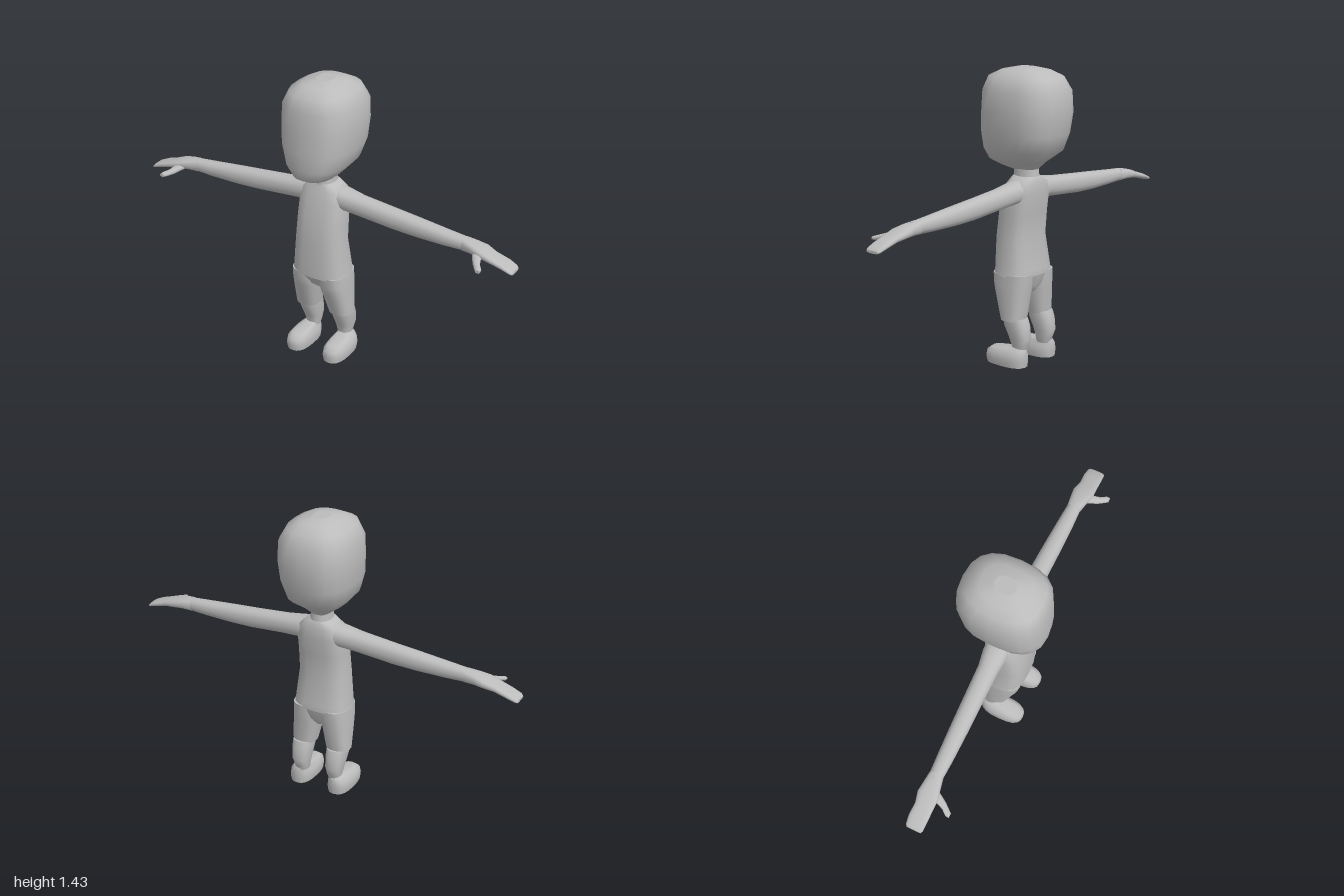
import * as THREE from 'three';

const SIDES = 20;
const grey = new THREE.MeshStandardMaterial({ color: 0xbcbcbc });
grey.name = 'plain grey';

// Rounded cross-section across one axis; a and b are the ranges on the other two axes
function ring(axis, pos, a0, a1, b0, b1, n) {
  const pts = [];
  const power = (v) => Math.sign(v) * Math.abs(v) ** (2 / n);
  for (let i = 0; i < SIDES; i++) {
    const t = (i / SIDES) * Math.PI * 2;
    const a = (a0 + a1) / 2 + ((a1 - a0) / 2) * power(Math.cos(t));
    const s = ((b1 - b0) / 2) * power(Math.sin(t));
    const b = (b0 + b1) / 2 + (axis === 'y' ? s : -s);
    pts.push(axis === 'y' ? [a, pos, b] : axis === 'x' ? [pos, a, b] : [a, b, pos]);
  }
  return pts;
}

// Smooth skin through cross-sections [pos, a0, a1, b0, b1], with crisp end caps
function loft(name, axis, sections, n = 2.3, side = 1) {
  const rings = sections.map((s) => ring(axis, ...s, n));
  const pos = [], idx = [];
  const add = (p) => pos.push(p[0] * side, p[1], p[2]) / 3 - 1;
  const tri = (a, b, c) => (side > 0 ? idx.push(a, b, c) : idx.push(a, c, b));
  rings.forEach((r) => r.forEach(add));
  for (let i = 0; i < rings.length - 1; i++) {
    for (let j = 0; j < SIDES; j++) {
      const a = i * SIDES + j, b = i * SIDES + ((j + 1) % SIDES);
      tri(a, a + SIDES, b);
      tri(b, a + SIDES, b + SIDES);
    }
  }
  [rings[0], rings[rings.length - 1]].forEach((r, end) => {
    const first = pos.length / 3;
    r.forEach(add);
    const mid = add([0, 1, 2].map((k) => r.reduce((sum, p) => sum + p[k], 0) / SIDES));
    for (let j = 0; j < SIDES; j++) {
      const a = first + j, b = first + ((j + 1) % SIDES);
      if (end) tri(a, mid, b);
      else tri(a, b, mid);
    }
  });
  const geo = new THREE.BufferGeometry();
  geo.setAttribute('position', new THREE.Float32BufferAttribute(pos, 3));
  geo.setIndex(idx);
  geo.computeVertexNormals();
  const mesh = new THREE.Mesh(geo, grey);
  mesh.name = name;
  return mesh;
}

// Sections centred on x = 0: [y, halfWidth, back z, front z]
const centred = (rows) => rows.map(([y, w, b, f]) => [y, -w, w, b, f]);

export function createModel() {
  const model = new THREE.Group();
  model.name = 'figure';

  model.add(loft('head', 'y', centred([
    [0.945, 0.045, -0.055, 0.08], [0.96, 0.065, -0.07, 0.14], [0.985, 0.1, -0.095, 0.197],
    [1.04, 0.148, -0.172, 0.213], [1.12, 0.174, -0.198, 0.214], [1.22, 0.18, -0.215, 0.21],
    [1.32, 0.178, -0.208, 0.202], [1.385, 0.145, -0.172, 0.178], [1.413, 0.095, -0.115, 0.12],
    [1.427, 0.04, -0.05, 0.05],
  ]), 2.6));

  model.add(loft('neck', 'y', centred([
    [0.88, 0.058, -0.066, 0.068], [0.92, 0.05, -0.062, 0.064], [0.97, 0.05, -0.055, 0.064],
  ]), 2.2));

  model.add(loft('torso', 'y', centred([
    [0.44, 0.145, -0.08, 0.13], [0.47, 0.14, -0.08, 0.131], [0.62, 0.125, -0.058, 0.129],
    [0.74, 0.122, -0.07, 0.114], [0.83, 0.122, -0.08, 0.092], [0.88, 0.108, -0.075, 0.075],
    [0.905, 0.07, -0.068, 0.066], [0.915, 0.05, -0.062, 0.064],
  ]), 2.7));

  model.add(loft('hips', 'y', centred([
    [0.35, 0.02, -0.04, 0.05], [0.385, 0.07, -0.065, 0.095], [0.44, 0.143, -0.078, 0.126],
  ]), 2.5));

  for (const side of [1, -1]) {
    const limb = (name, axis, rows, n) => model.add(loft(name, axis, rows, n, side));

    limb('trouserLeg', 'y', [
      [0.225, 0.036, 0.15, -0.056, 0.062], [0.3, 0.022, 0.149, -0.064, 0.086],
      [0.36, 0.01, 0.147, -0.07, 0.106], [0.4, 0.003, 0.146, -0.075, 0.117],
      [0.45, 0.002, 0.143, -0.078, 0.122],
    ], 2.6);

    limb('lowerLeg', 'y', [
      [0.075, 0.06, 0.125, -0.068, 0.008], [0.1, 0.055, 0.127, -0.075, 0.005],
      [0.14, 0.05, 0.136, -0.09, 0.018], [0.2, 0.044, 0.144, -0.081, 0.046],
      [0.235, 0.044, 0.144, -0.068, 0.052],
    ], 2.5);

    limb('shoe', 'y', [
      [0, 0.05, 0.16, -0.076, 0.147], [0.03, 0.045, 0.166, -0.079, 0.151],
      [0.058, 0.049, 0.161, -0.079, 0.146], [0.078, 0.06, 0.147, -0.075, 0.12],
      [0.088, 0.063, 0.132, -0.069, 0.03], [0.096, 0.068, 0.124, -0.06, 0.01],
    ], 2.6);

    limb('arm', 'x', [
      [0.05, 0.79, 0.905, -0.06, 0.06], [0.12, 0.79, 0.892, -0.058, 0.06],
      [0.2, 0.782, 0.88, -0.045, 0.053], [0.38, 0.766, 0.863, -0.04, 0.05],
      [0.5, 0.762, 0.852, -0.036, 0.05], [0.65, 0.763, 0.837, -0.029, 0.048],
      [0.77, 0.768, 0.826, -0.022, 0.043],
    ], 2.3);

    limb('hand', 'x', [
      [0.74, 0.766, 0.829, -0.024, 0.045], [0.79, 0.768, 0.822, -0.03, 0.056],
      [0.84, 0.766, 0.81, -0.036, 0.068], [0.89, 0.757, 0.792, -0.024, 0.066],
      [0.95, 0.744, 0.772, -0.027, 0.065], [0.99, 0.732, 0.754, -0.022, 0.063],
      [1, 0.731, 0.743, -0.014, 0.056],
    ], 2.6);

    limb('thumb', 'z', [
      [0.035, 0.79, 0.86, 0.77, 0.8], [0.07, 0.81, 0.853, 0.763, 0.79],
      [0.1, 0.828, 0.865, 0.754, 0.778], [0.125, 0.848, 0.885, 0.748, 0.77],
      [0.142, 0.862, 0.886, 0.748, 0.764],
    ], 2.3);
  }
  return model;
}
